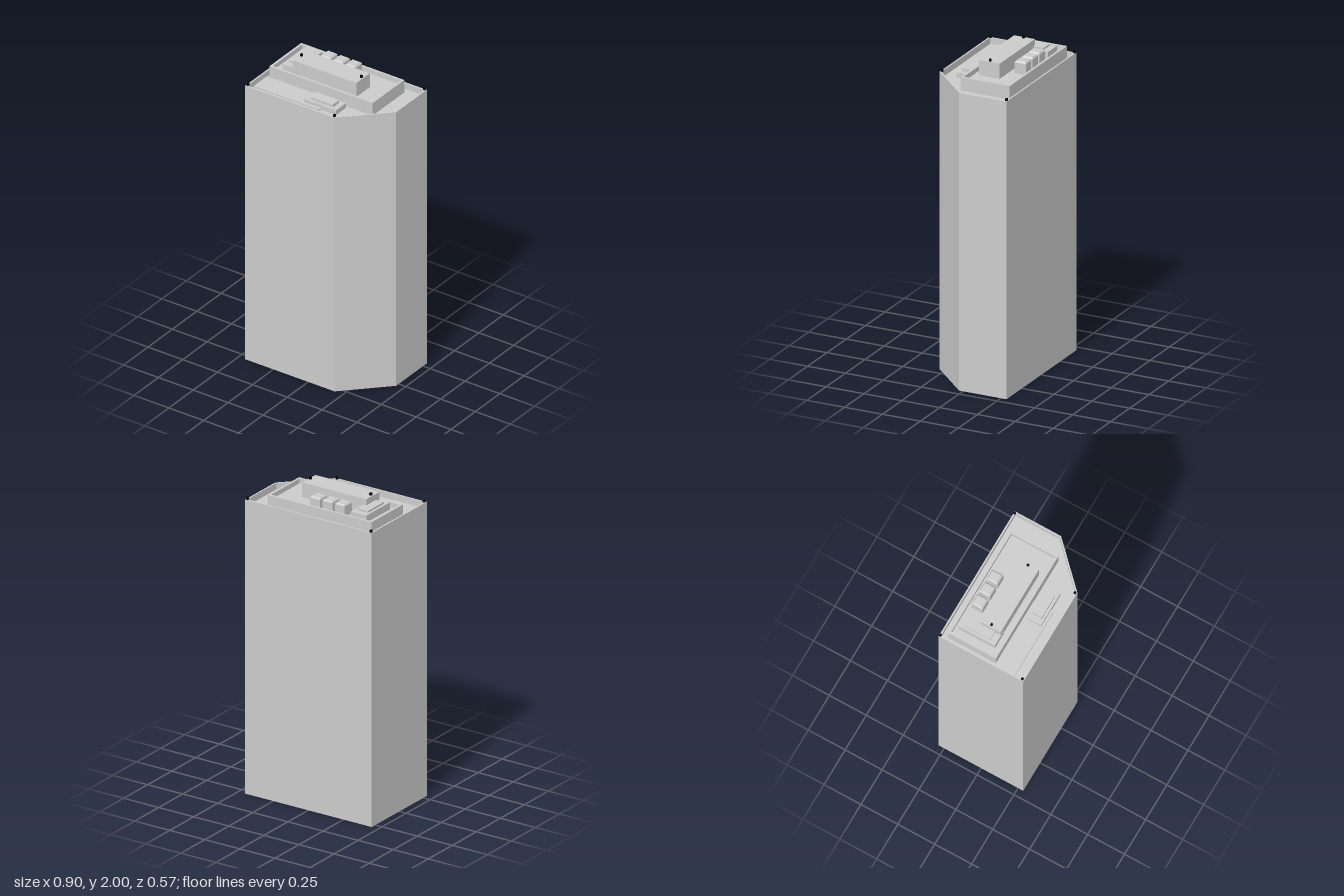
import * as THREE from 'three';

const grey = new THREE.MeshStandardMaterial({ color: 0xcccccc, flatShading: true });
const black = new THREE.MeshStandardMaterial({ color: 0x050505, flatShading: true });

// Rectangle outline in x/z, counter-clockwise seen from above, shrunk by t.
const rect = (x0, x1, z0, z1, t = 0) => [
  [x0 + t, z1 - t], [x1 - t, z1 - t], [x1 - t, z0 + t], [x0 + t, z0 + t],
];

// Tower outline with one cut corner, shrunk evenly by t.
const tower = (t = 0) => {
  const k = t * Math.tan(Math.PI / 8);
  return [
    [-0.452, 0.286], [0.19, 0.286], [0.45, 0.026], [0.45, -0.288], [-0.452, -0.288],
  ].map(([x, z], i) => [
    [x + t, z - t], [x - k, z - t], [x - t, z - k], [x - t, z + t], [x + t, z + t],
  ][i]);
};

// Skin a stack of convex outlines [outline, y] and cap both ends.
function loft(name, rings) {
  const pos = [];
  const put = (ring, i) => pos.push(ring[0][i][0], ring[1], ring[0][i][1]);
  const n = rings[0][0].length;
  const first = rings[0], last = rings[rings.length - 1];
  for (let r = 0; r < rings.length - 1; r++) {
    const lo = rings[r], hi = rings[r + 1];
    for (let i = 0; i < n; i++) {
      const j = (i + 1) % n;
      put(lo, i); put(lo, j); put(hi, j);
      put(lo, i); put(hi, j); put(hi, i);
    }
  }
  for (let i = 1; i < n - 1; i++) {
    put(last, 0); put(last, i); put(last, i + 1);
    put(first, 0); put(first, i + 1); put(first, i);
  }
  const geo = new THREE.BufferGeometry();
  geo.setAttribute('position', new THREE.Float32BufferAttribute(pos, 3));
  geo.computeVertexNormals();
  const mesh = new THREE.Mesh(geo, grey);
  mesh.name = name;
  return mesh;
}

// Axis-aligned block given by its extents.
function block(name, x0, x1, y0, y1, z0, z1, material = grey) {
  const mesh = new THREE.Mesh(new THREE.BoxGeometry(x1 - x0, y1 - y0, z1 - z0), material);
  mesh.position.set((x0 + x1) / 2, (y0 + y1) / 2, (z0 + z1) / 2);
  mesh.name = name;
  return mesh;
}

export function createModel() {
  const model = new THREE.Group();
  model.name = 'towerBlock';
  const deck = 1.835, roof = 1.875, floor = 1.89;

  // Shaft with a parapet around a sunken roof deck
  model.add(loft('towerShaft', [
    [tower(), 0], [tower(), roof], [tower(0.01), roof], [tower(0.01), deck],
  ]));

  // Penthouse storey with its own parapet
  const house = t => rect(-0.42, 0.32, -0.243, 0.083, t);
  model.add(loft('penthouse', [
    [house(), deck], [house(), 1.92], [house(0.015), 1.92], [house(0.015), floor],
  ]));

  // Plant room and stepped side unit
  model.add(
    block('plantRoom', -0.285, 0.172, floor, 1.985, -0.1, 0.037),
    block('sideUnitBase', -0.358, -0.247, floor, 1.935, -0.207, 0.04),
    block('sideUnitTop', -0.342, -0.267, 1.935, 1.947, -0.167, 0),
  );

  // Row of cooling units with bevelled tops
  for (const x of [-0.169, -0.081, 0.007]) {
    const unit = t => rect(x - 0.035, x + 0.035, -0.207, -0.132, t);
    model.add(loft('coolingUnit', [[unit(0), floor], [unit(0), 1.957], [unit(0.008), 1.966]]));
  }

  // Low platform and skylight on the front deck
  model.add(
    block('deckPlatform', -0.438, 0.03, deck, 1.845, 0.083, 0.218),
    block('skylightBase', -0.09, 0.14, deck, 1.867, 0.1, 0.2),
    block('skylightTop', -0.053, 0.105, 1.867, 1.885, 0.118, 0.183),
  );

  // Warning lights on the parapet corners and the plant room
  const s = 0.0065;
  for (const [x, z, y] of [
    [-0.443, -0.281, roof], [0.437, -0.281, roof], [-0.441, 0.274, roof], [0.181, 0.274, roof],
    [-0.27, -0.032, 1.985], [0.159, -0.032, 1.985],
  ]) model.add(block('warningLight', x - s, x + s, y, y + 0.015, z - s, z + s, black));

  return model;
}
